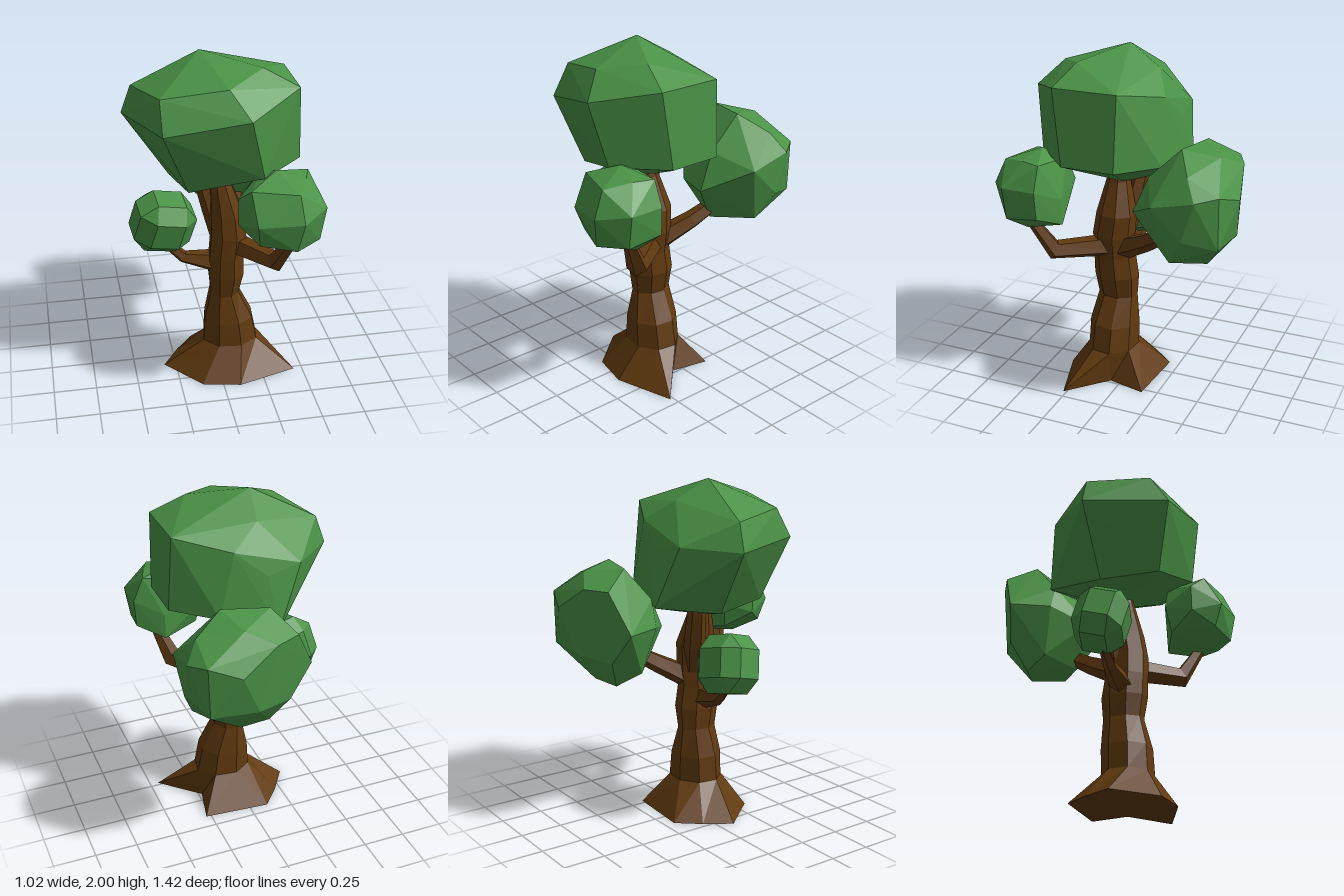
import * as THREE from 'three';
import { ConvexGeometry } from 'three/addons/geometries/ConvexGeometry.js';

const V = (x, y, z) => new THREE.Vector3(x, y, z);
const bark = new THREE.MeshStandardMaterial({ color: 0x613a0f, flatShading: true });
const leaf = new THREE.MeshStandardMaterial({ color: 0x4a9246, flatShading: true });

// Skin a stack of equal-sized rings and close both ends
function loft(rings) {
  const n = rings[0].length, pos = [];
  const tri = (...p) => p.forEach(v => pos.push(v.x, v.y, v.z));
  for (let r = 0; r < rings.length - 1; r++) {
    for (let i = 0; i < n; i++) {
      const j = (i + 1) % n, a = rings[r], b = rings[r + 1];
      tri(a[i], b[i], a[j]);
      tri(a[j], b[i], b[j]);
    }
  }
  const cap = (ring, up) => {
    const c = ring.reduce((s, p) => s.add(p), V(0, 0, 0)).divideScalar(n);
    ring.forEach((p, i) => {
      const q = ring[(i + 1) % n];
      up ? tri(c, q, p) : tri(c, p, q);
    });
  };
  cap(rings[0], false);
  cap(rings[rings.length - 1], true);
  const g = new THREE.BufferGeometry();
  g.setAttribute('position', new THREE.Float32BufferAttribute(pos, 3));
  g.computeVertexNormals();
  return g;
}

// Tapered limb through stations [x, y, z, radius]
function limb(stations, sides) {
  const pts = stations.map(s => V(s[0], s[1], s[2]));
  return loft(pts.map((p, k) => {
    const t = pts[Math.min(k + 1, pts.length - 1)].clone().sub(pts[Math.max(k - 1, 0)]).normalize();
    const u = V(0, 1, 0).addScaledVector(t, -t.y).normalize();
    const v = u.clone().cross(t);
    return Array.from({ length: sides }, (_, i) => {
      const a = (i + 0.5) / sides * Math.PI * 2, r = stations[k][3];
      return p.clone().addScaledVector(u, r * Math.cos(a)).addScaledVector(v, r * Math.sin(a));
    });
  }));
}

export function createModel() {
  const tree = new THREE.Group();
  tree.name = 'tree';
  const add = (name, geometry, material) => {
    const m = new THREE.Mesh(geometry, material);
    m.name = name;
    tree.add(m);
    return m;
  };

  // Flared root footprint, then elliptical trunk rings: [y, xMin, xMax, zMin, zMax]
  const foot = [[0.45, 0.27], [0.1, 0.375], [-0.12, 0.33], [-0.32, 0.09],
    [-0.22, -0.06], [-0.11, -0.19], [0.28, -0.16], [0.23, 0.06]].map(([x, z]) => V(x, 0, z));
  const levels = [
    [0.19, -0.085, 0.25, -0.045, 0.245],
    [0.34, -0.075, 0.22, -0.045, 0.24],
    [0.51, -0.035, 0.135, -0.03, 0.2],
    [0.64, -0.05, 0.165, -0.04, 0.22],
    [0.77, -0.045, 0.16, -0.02, 0.225],
    [0.9, -0.035, 0.175, -0.02, 0.225],
    [1.03, -0.035, 0.16, -0.03, 0.205],
    [1.22, -0.035, 0.085, 0.02, 0.16],
    [1.34, -0.02, 0.06, 0.04, 0.13],
  ];
  const rings = levels.map(([y, x0, x1, z0, z1]) => foot.map((_, i) => {
    const a = (30 + 45 * i) * Math.PI / 180;
    return V((x0 + x1) / 2 + (x1 - x0) / 2 * 1.03 * Math.cos(a), y,
      (z0 + z1) / 2 + (z1 - z0) / 2 * 1.03 * Math.sin(a));
  }));
  add('trunk', loft([foot, ...rings]), bark);

  // Second stem of the fork, leaning to the back right
  add('rearFork', limb([[0.03, 0.88, 0.06, 0.065], [-0.01, 1.03, 0.03, 0.065],
    [-0.065, 1.22, 0, 0.055], [-0.1, 1.36, -0.02, 0.045]], 6), bark);

  // Branches reaching the smaller crowns
  add('frontBranch', limb([[0.08, 0.83, 0.1, 0.07], [0.29, 0.835, 0.38, 0.06],
    [0.37, 1.06, 0.5, 0.03]], 5), bark);
  add('backBranch', limb([[0.08, 0.82, 0.04, 0.07], [0.16, 0.92, -0.14, 0.055],
    [0.22, 1.03, -0.32, 0.04]], 5), bark);
  add('rightBranch', limb([[0.02, 0.70, 0.09, 0.075], [-0.19, 0.74, 0.07, 0.038],
    [-0.31, 0.85, 0.05, 0.025]], 5), bark);

  // Faceted crowns, each a hull of its corner points
  const crown = (name, pts) => add(name, new ConvexGeometry(pts.map(p => V(...p))), leaf);

  crown('mainCrown', [
    [-0.09, 2, 0.063], [0.225, 1.94, 0.245], [0.415, 1.84, 0.305], [0.415, 1.84, -0.07],
    [0.01, 1.895, 0.42], [-0.345, 1.84, 0.35], [-0.46, 1.8, 0], [-0.05, 1.885, -0.13],
    [-0.515, 1.64, -0.01], [-0.345, 1.67, 0.455], [0.105, 1.76, 0.55], [0.12, 1.77, -0.23],
    [-0.26, 1.66, -0.25], [-0.06, 1.62, -0.265], [-0.115, 1.31, -0.315], [0.21, 1.4, -0.25],
    [0.44, 1.41, 0.25], [0.44, 1.41, -0.06], [0.19, 1.41, 0.485], [-0.2, 1.3, 0.36],
    [-0.26, 1.26, 0.03], [0.02, 1.21, 0.06],
  ]);

  crown('backCrown', [
    [0.2, 1.5, -0.58], [0.26, 1.54, -0.38], [0, 1.53, -0.44], [0.43, 1.45, -0.475],
    [0.43, 1.36, -0.65], [-0.095, 1.43, -0.6], [0.05, 1.43, -0.665], [0.505, 1.34, -0.54],
    [0.5, 1.28, -0.295], [0.26, 1.355, -0.19], [-0.06, 1.35, -0.3], [0.26, 1.3, -0.713],
    [-0.21, 1.2, -0.53], [-0.12, 1.2, -0.31], [0.27, 1.14, -0.1], [0.08, 1.15, -0.14],
    [0.5, 1.11, -0.47], [0.42, 1.06, -0.65], [0.15, 1.05, -0.67], [-0.07, 1.02, -0.57],
    [0.43, 0.95, -0.38], [0.2, 0.92, -0.24], [-0.045, 0.93, -0.36], [0.02, 0.86, -0.49],
    [0.2, 0.87, -0.52],
  ]);

  crown('frontCrown', [
    [0.255, 1.44, 0.455], [0.45, 1.4, 0.385], [0.345, 1.375, 0.645], [0.1, 1.38, 0.57],
    [0.41, 1.4, 0.5], [0.2, 1.38, 0.33], [0.51, 1.26, 0.385], [0.51, 1.26, 0.585],
    [0.36, 1.23, 0.71], [0.12, 1.21, 0.665], [0.045, 1.31, 0.5], [0.045, 1.155, 0.5],
    [0.1, 1.22, 0.33], [0.35, 1.18, 0.3], [0.5, 1.1, 0.38], [0.48, 1.07, 0.58],
    [0.33, 1.06, 0.68], [0.14, 1.08, 0.62], [0.35, 1.03, 0.295], [0.14, 1.07, 0.36],
    [0.415, 1.01, 0.48], [0.27, 1, 0.52],
  ]);

  // Smallest crown: a slightly flattened bevelled block of 24 corners
  const half = [0.17, 0.166, 0.145], small = [];
  for (const x of [-1, 1]) for (const y of [-1, 1]) for (const z of [-1, 1])
    for (let k = 0; k < 3; k++)
      small.push([x, y, z].map((s, i) => s * half[i] * (i === k ? 1 : 0.5)));
  const rightCrown = crown('rightCrown', small);
  rightCrown.position.set(-0.305, 0.975, 0.05);
  rightCrown.rotation.set(0.25, 0.1, -0.25);
  return tree;
}
